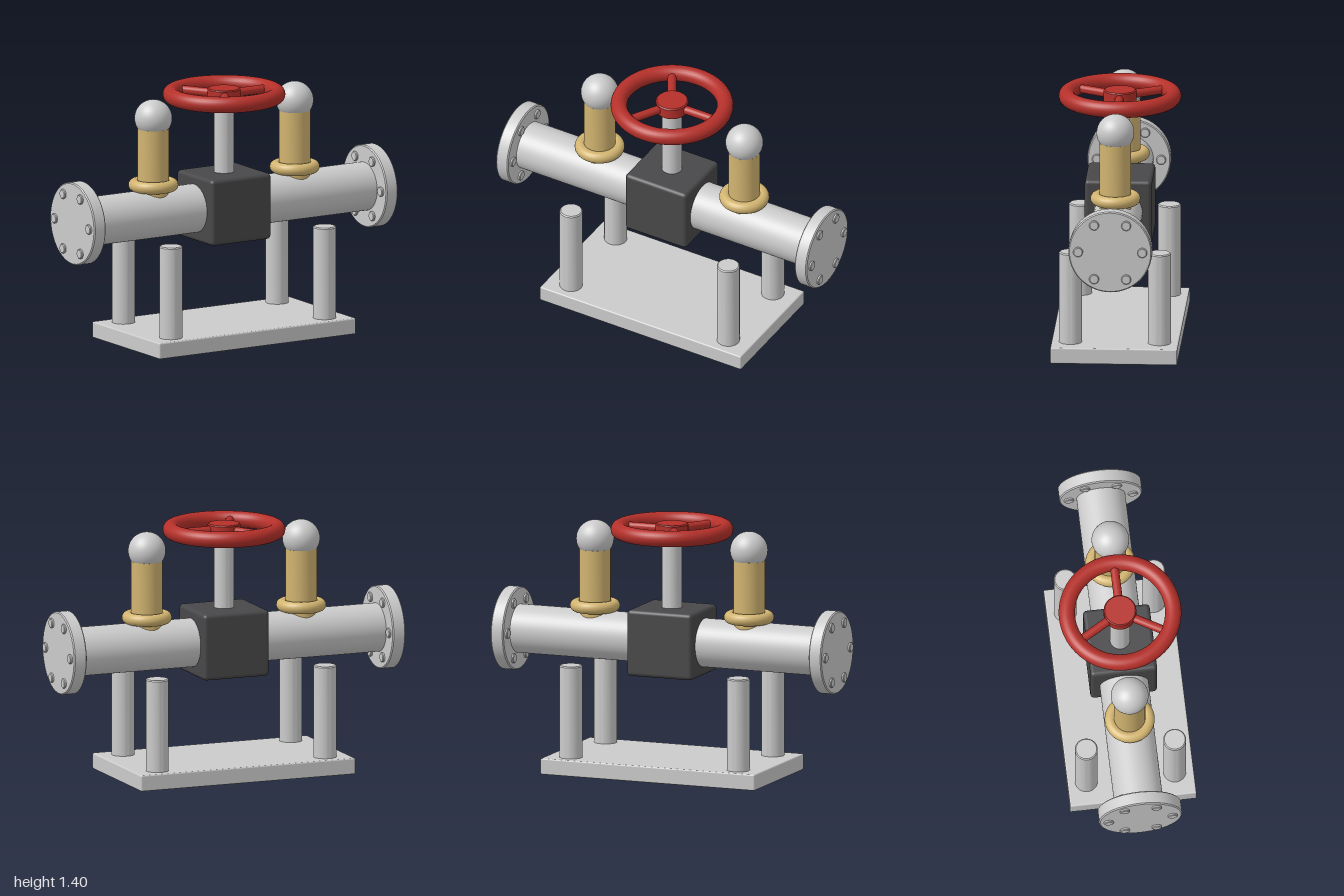
import * as THREE from 'three';
import { RoundedBoxGeometry } from 'three/addons/geometries/RoundedBoxGeometry.js';
import { toCreasedNormals } from 'three/addons/utils/BufferGeometryUtils.js';

const material = (color) => new THREE.MeshStandardMaterial({ color });

export function createModel() {
  const model = new THREE.Group();
  model.name = 'pipeValveAssembly';
  const grey = material(0xcccccc);
  const dark = material(0x48484a);
  const brass = material(0xd2b470);
  const red = material(0xb5302a);

  const add = (parent, name, geometry, mat, x = 0, y = 0, z = 0) => {
    const mesh = new THREE.Mesh(geometry, mat);
    mesh.name = name;
    mesh.position.set(x, y, z);
    parent.add(mesh);
    return mesh;
  };
  const group = (name, x = 0, y = 0, z = 0) => {
    const g = new THREE.Group();
    g.name = name;
    g.position.set(x, y, z);
    model.add(g);
    return g;
  };
  // Solid cylinder along y, with small bevelled rims
  const rod = (r, h, bevel = 0.006, sides = 48) => {
    const profile = [
      [0, -h / 2], [r - bevel, -h / 2], [r, -h / 2 + bevel],
      [r, h / 2 - bevel], [r - bevel, h / 2], [0, h / 2],
    ].map(([x, y]) => new THREE.Vector2(x, y));
    return toCreasedNormals(new THREE.LatheGeometry(profile, sides), 0.5);
  };

  // Base plate and four posts
  add(model, 'basePlate', new RoundedBoxGeometry(1.28, 0.09, 0.7, 3, 0.008), grey, 0, 0.045);
  for (const x of [-0.5, 0.5]) {
    for (const z of [-0.245, 0.245]) {
      add(model, 'supportPost', rod(0.063, 0.525), grey, x, 0.3425, z);
    }
  }

  // Main pipe and valve body
  const pipeY = 0.74;
  add(model, 'mainPipe', rod(0.135, 1.88), grey, 0, pipeY).rotation.z = Math.PI / 2;
  add(model, 'valveBody', new RoundedBoxGeometry(0.39, 0.37, 0.37, 4, 0.022), dark, 0, pipeY);

  for (const side of [-1, 1]) {
    // End flange with a ring of six bolts
    const flange = group('endFlange', side * 0.95, pipeY);
    flange.rotation.z = -side * Math.PI / 2;
    add(flange, 'flangeDisc', rod(0.23, 0.076, 0.006, 64), grey);
    for (let i = 0; i < 6; i++) {
      const a = (i * Math.PI) / 3;
      add(flange, 'flangeBolt', rod(0.027, 0.1, 0.004, 24), grey,
        0.177 * Math.sin(a), 0, 0.177 * Math.cos(a));
    }

    // Riser with brass collar and ball cap
    const riser = group('riser', side * 0.46);
    add(riser, 'riserTube', rod(0.087, 0.41), brass, 0, 1.02);
    add(riser, 'riserCollar', new THREE.TorusGeometry(0.105, 0.033, 20, 56), brass, 0, 0.902)
      .rotation.x = Math.PI / 2;
    add(riser, 'ballCap', new THREE.SphereGeometry(0.104, 40, 28), grey, 0, 1.276);
  }

  // Stem and handwheel
  add(model, 'valveStem', rod(0.056, 0.47), grey, 0, 1.125);
  const wheel = group('handwheel', 0, 1.36);
  add(wheel, 'wheelRim', new THREE.TorusGeometry(0.293, 0.045, 24, 80), red).rotation.x = Math.PI / 2;
  add(wheel, 'wheelHub', rod(0.09, 0.07), red);
  for (let i = 0; i < 3; i++) {
    const a = (i * Math.PI * 2) / 3;
    const spoke = add(wheel, 'wheelSpoke', rod(0.024, 0.25, 0.004, 24), red,
      0.17 * Math.cos(a), 0, -0.17 * Math.sin(a));
    spoke.rotation.set(0, a, Math.PI / 2);
  }

  return model;
}
